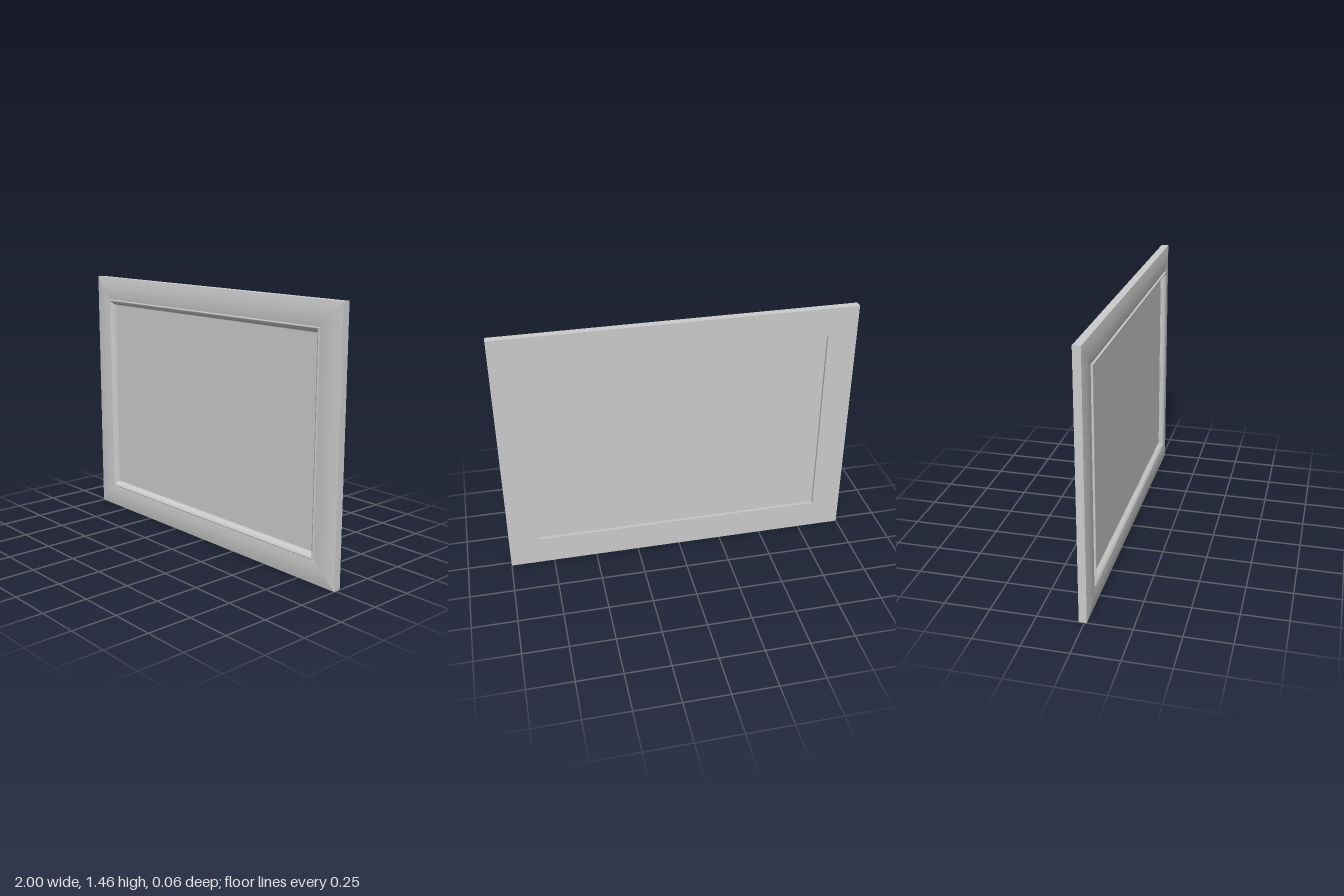
import * as THREE from 'three';
import { toCreasedNormals } from 'three/addons/utils/BufferGeometryUtils.js';

const W = 2, H = 1.46, BACK = -0.029, OPENING = 0.166;

// Rail with mitred ends, from a closed profile of (inset from outer edge, z)
function railGeometry(profile, halfLength, halfSpan) {
  const pos = [];
  const at = (p, s) => [s * (halfLength - p.x), p.x - halfSpan, p.y];
  profile.forEach((p, i) => {
    const q = profile[(i + 1) % profile.length];
    const a = at(p, -1), b = at(p, 1), c = at(q, 1), d = at(q, -1);
    pos.push(...a, ...b, ...c, ...a, ...c, ...d);
  });
  const geo = new THREE.BufferGeometry();
  geo.setAttribute('position', new THREE.Float32BufferAttribute(pos, 3));
  return toCreasedNormals(geo, 0.6);
}

const curve = (pts, n) =>
  new THREE.SplineCurve(pts.map(([x, y]) => new THREE.Vector2(x, y))).getPoints(n);

export function createModel() {
  const model = new THREE.Group();
  const mat = new THREE.MeshStandardMaterial({ color: 0xcccccc });

  const profile = [
    // gently domed face
    ...curve([[0, 0.013], [0.03, 0.018], [0.07, 0.0215], [0.11, 0.0205], [0.134, 0.018]], 20),
    // raised bead rolling down into the opening
    ...curve([[0.134, 0.027], [0.137, 0.029], [0.143, 0.0275], [0.153, 0.02], [0.16, 0.011], [0.163, 0.005]], 14),
    new THREE.Vector2(OPENING, 0.004),
    // inner wall and flat back
    new THREE.Vector2(OPENING, BACK),
    new THREE.Vector2(0, BACK),
  ];

  // Four mitred rails
  ['bottomRail', 'leftRail', 'topRail', 'rightRail'].forEach((name, i) => {
    const upright = i % 2 === 1;
    const geo = railGeometry(profile, (upright ? H : W) / 2, (upright ? W : H) / 2);
    const rail = new THREE.Mesh(geo, mat);
    rail.name = name;
    rail.position.y = H / 2;
    rail.rotation.z = i * Math.PI / 2;
    model.add(rail);
  });

  // Panel set in the opening
  const panel = new THREE.Mesh(
    new THREE.BoxGeometry(W - 2 * OPENING, H - 2 * OPENING, 0.012), mat);
  panel.name = 'panel';
  panel.position.set(0, H / 2, -0.006);
  model.add(panel);

  return model;
}
